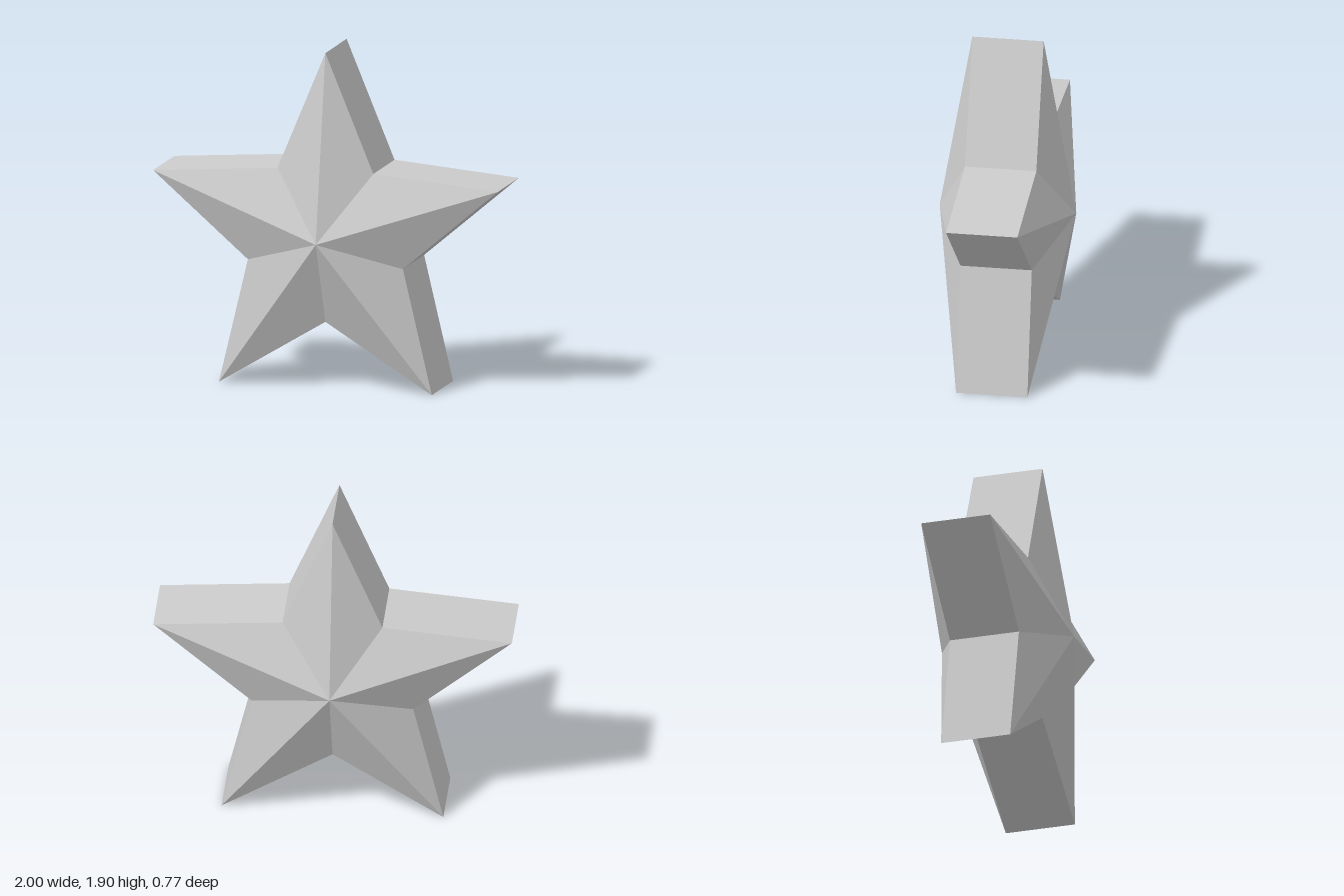
import * as THREE from 'three';

const OUTER = 1 / Math.sin(Math.PI * 0.4); // point radius, giving a width of 2
const INNER = OUTER * 0.45;                // notch radius
const CENTRE_Y = OUTER * Math.cos(Math.PI / 5);
const RIM_Z = 0.2;                         // half thickness of the rim
const APEX_Z = 0.383;                      // height of the faceted centre

// Outline corner i (clockwise from the top point) at depth z
function corner(i, z) {
  const r = i % 2 === 0 ? OUTER : INNER;
  const a = (i % 10) * Math.PI / 5;
  return [r * Math.sin(a), CENTRE_Y + r * Math.cos(a), z];
}

function facetedMesh(name, positions, material) {
  const geometry = new THREE.BufferGeometry();
  geometry.setAttribute('position', new THREE.Float32BufferAttribute(positions, 3));
  geometry.computeVertexNormals();
  const mesh = new THREE.Mesh(geometry, material);
  mesh.name = name;
  return mesh;
}

export function createModel() {
  const group = new THREE.Group();
  group.name = 'star';
  const material = new THREE.MeshStandardMaterial({ color: 0xcccccc, flatShading: true });

  const front = [], back = [], rim = [];
  for (let i = 0; i < 10; i++) {
    const a = corner(i, RIM_Z), b = corner(i + 1, RIM_Z);
    const c = corner(i, -RIM_Z), d = corner(i + 1, -RIM_Z);
    // Facets rising to the front and back centres
    front.push(0, CENTRE_Y, APEX_Z, ...b, ...a);
    back.push(0, CENTRE_Y, -APEX_Z, ...c, ...d);
    // Straight wall between them
    rim.push(...a, ...b, ...d, ...a, ...d, ...c);
  }

  group.add(
    facetedMesh('frontFacets', front, material),
    facetedMesh('backFacets', back, material),
    facetedMesh('rim', rim, material),
  );
  return group;
}
